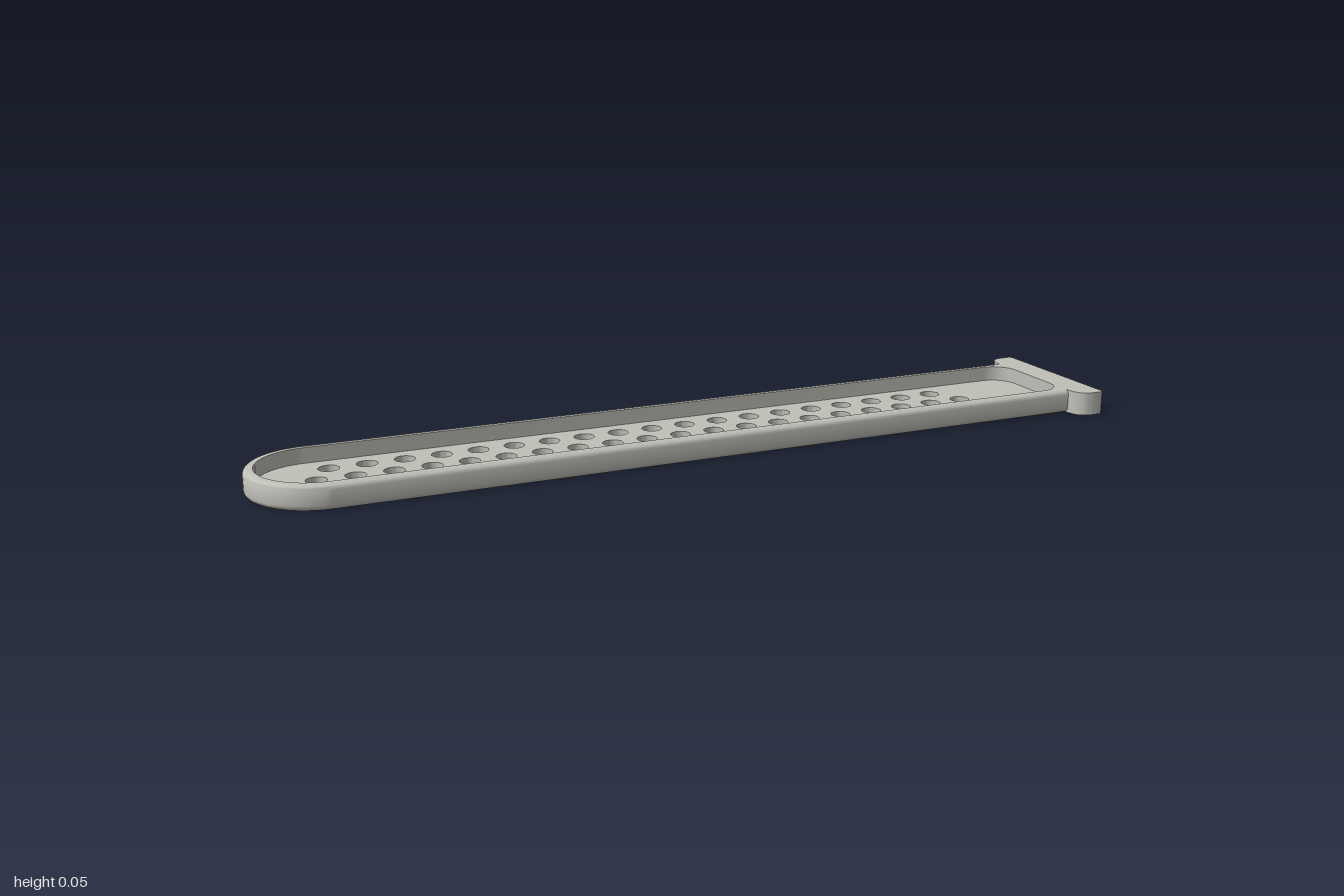
import * as THREE from 'three';
import { toCreasedNormals } from 'three/addons/utils/BufferGeometryUtils.js';

const END = 0.93, ARC = -0.85, HALF = 0.15, TOP = 0.055, FLOOR = 0.02;

// Outline with a round left end and a square (or rounded) right end, in plan
function outline(inset, corner) {
  const r = HALF - inset, pts = [];
  const arc = (cx, cz, rad, from, to, n) => {
    for (let i = 0; i <= n; i++) {
      const a = from + (to - from) * i / n;
      pts.push(new THREE.Vector2(cx + rad * Math.cos(a), cz + rad * Math.sin(a)));
    }
  };
  arc(END - corner, r - corner, corner, 0, Math.PI / 2, 8);
  arc(ARC, 0, r, Math.PI / 2, Math.PI * 1.5, 40);
  arc(END - corner, corner - r, corner, -Math.PI / 2, 0, 8);
  return pts;
}

// Extrude a plan shape upwards from y0 to y1
function slab(shape, y0, y1) {
  const g = new THREE.ExtrudeGeometry(shape, { depth: y1 - y0, bevelEnabled: false, curveSegments: 12 });
  g.rotateX(-Math.PI / 2).translate(0, y0, 0);
  return toCreasedNormals(g, 0.6);
}

// Rounded rim: rings of [inset, height, inner corner radius] joined in order
function rimGeometry() {
  const b = 0.012, rings = [];
  for (let i = 0; i <= 4; i++) {
    const a = i / 4 * Math.PI / 2;
    rings.push([b * (1 - Math.sin(a)), b * (1 - Math.cos(a)), 0]);
  }
  for (let i = 0; i <= 4; i++) {
    const a = i / 4 * Math.PI / 2;
    rings.push([b * (1 - Math.cos(a)), TOP - b * (1 - Math.sin(a)), 0]);
  }
  rings.push([0.022, TOP, 0.055], [0.022, FLOOR, 0.055]);
  const pos = [], index = [];
  let n = 0;
  for (const [inset, y, corner] of rings) {
    const pts = outline(inset, corner);
    n = pts.length;
    for (const p of pts) pos.push(p.x, y, p.y);
  }
  for (let j = 0; j < rings.length - 1; j++) {
    for (let i = 0; i < n; i++) {
      const k = (i + 1) % n;
      const a = j * n + i, c = a + n, e = j * n + k, d = e + n;
      index.push(a, c, e, e, c, d);
    }
  }
  const g = new THREE.BufferGeometry();
  g.setAttribute('position', new THREE.Float32BufferAttribute(pos, 3));
  g.setIndex(index);
  return toCreasedNormals(g, 0.6);
}

// Floor plate with three staggered rows of holes
function floorGeometry() {
  const shape = new THREE.Shape(outline(0.012, 0));
  const pitch = 0.0827;
  for (const [z, x0, count] of [[-0.072, -0.81, 19], [0, -0.852, 20], [0.072, -0.81, 19]]) {
    for (let i = 0; i < count; i++) {
      shape.holes.push(new THREE.Path().absarc(x0 + i * pitch, z, 0.023, 0, Math.PI * 2, true));
    }
  }
  return slab(shape, 0, FLOOR);
}

// End connector plan, optionally notched by three slots in its outer face
function connectorShape(slots) {
  const w = 0.193, e = 0.01, s = new THREE.Shape();
  s.moveTo(END, -HALF);
  s.quadraticCurveTo(END + 0.004, -w, 0.972, -w);
  s.lineTo(1 - e, -w);
  s.quadraticCurveTo(1, -w, 1, -w + e);
  if (slots) {
    for (const z of [-0.073, 0, 0.073]) {
      s.lineTo(1, z - 0.021);
      s.lineTo(0.95, z - 0.021);
      s.lineTo(0.95, z + 0.021);
      s.lineTo(1, z + 0.021);
    }
  }
  s.lineTo(1, w - e);
  s.quadraticCurveTo(1, w, 1 - e, w);
  s.lineTo(0.972, w);
  s.quadraticCurveTo(END + 0.004, w, END, HALF);
  s.closePath();
  return s;
}

export function createModel() {
  const model = new THREE.Group();
  model.name = 'perforatedTray';
  const grey = new THREE.MeshStandardMaterial({ color: 0xc0c0b9 });
  grey.name = 'warm grey';
  const add = (name, geometry, parent = model) => {
    const m = new THREE.Mesh(geometry, grey);
    m.name = name;
    parent.add(m);
  };

  add('rim', rimGeometry());
  add('perforatedFloor', floorGeometry());

  // Connector stacked in layers, so the middle one leaves three sockets
  const connector = new THREE.Group();
  connector.name = 'endConnector';
  model.add(connector);
  add('connectorBase', slab(connectorShape(false), 0, 0.015), connector);
  add('connectorSockets', slab(connectorShape(true), 0.015, 0.043), connector);
  add('connectorTop', slab(connectorShape(false), 0.043, TOP), connector);
  return model;
}
